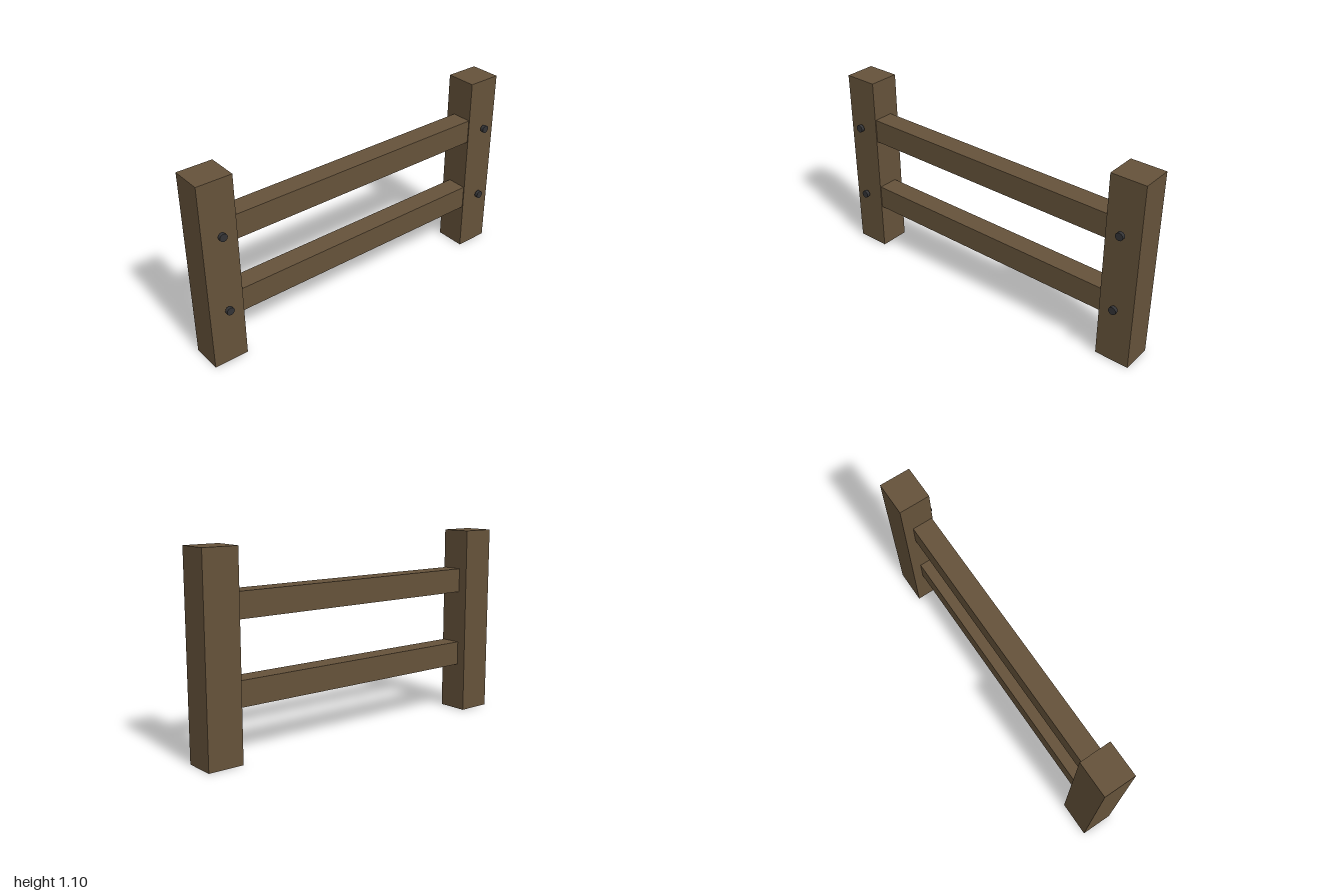
import * as THREE from 'three';

export function createModel() {
  const wood = new THREE.MeshStandardMaterial({ color: 0x65523a });
  wood.name = 'brown wood';
  const iron = new THREE.MeshStandardMaterial({ color: 0x333335 });
  iron.name = 'dark iron';

  const model = new THREE.Group();
  model.name = 'fenceSection';

  const add = (name, geometry, material, x, y, z) => {
    const mesh = new THREE.Mesh(geometry, material);
    mesh.name = name;
    mesh.position.set(x, y, z);
    model.add(mesh);
  };

  const postGeometry = new THREE.BoxGeometry(0.2, 1.1, 0.18);
  const railGeometry = new THREE.BoxGeometry(1.6, 0.14, 0.12);
  const boltGeometry = new THREE.CylinderGeometry(0.0225, 0.0225, 0.02, 12).rotateX(Math.PI / 2);
  const levels = [['lower', 0.35], ['upper', 0.8]];

  // Rails, set almost flush with the front of the posts
  for (const [level, y] of levels) add(`${level}Rail`, railGeometry, wood, 0, y, 0.005);

  // Posts, each with a bolt head standing proud at both rail heights
  for (const [side, x] of [['left', 0.9], ['right', -0.9]]) {
    add(`${side}Post`, postGeometry, wood, x, 0.55, -0.02);
    for (const [level, y] of levels) add(`${side}${level === 'upper' ? 'Upper' : 'Lower'}Bolt`, boltGeometry, iron, x, y, 0.1);
  }

  return model;
}
